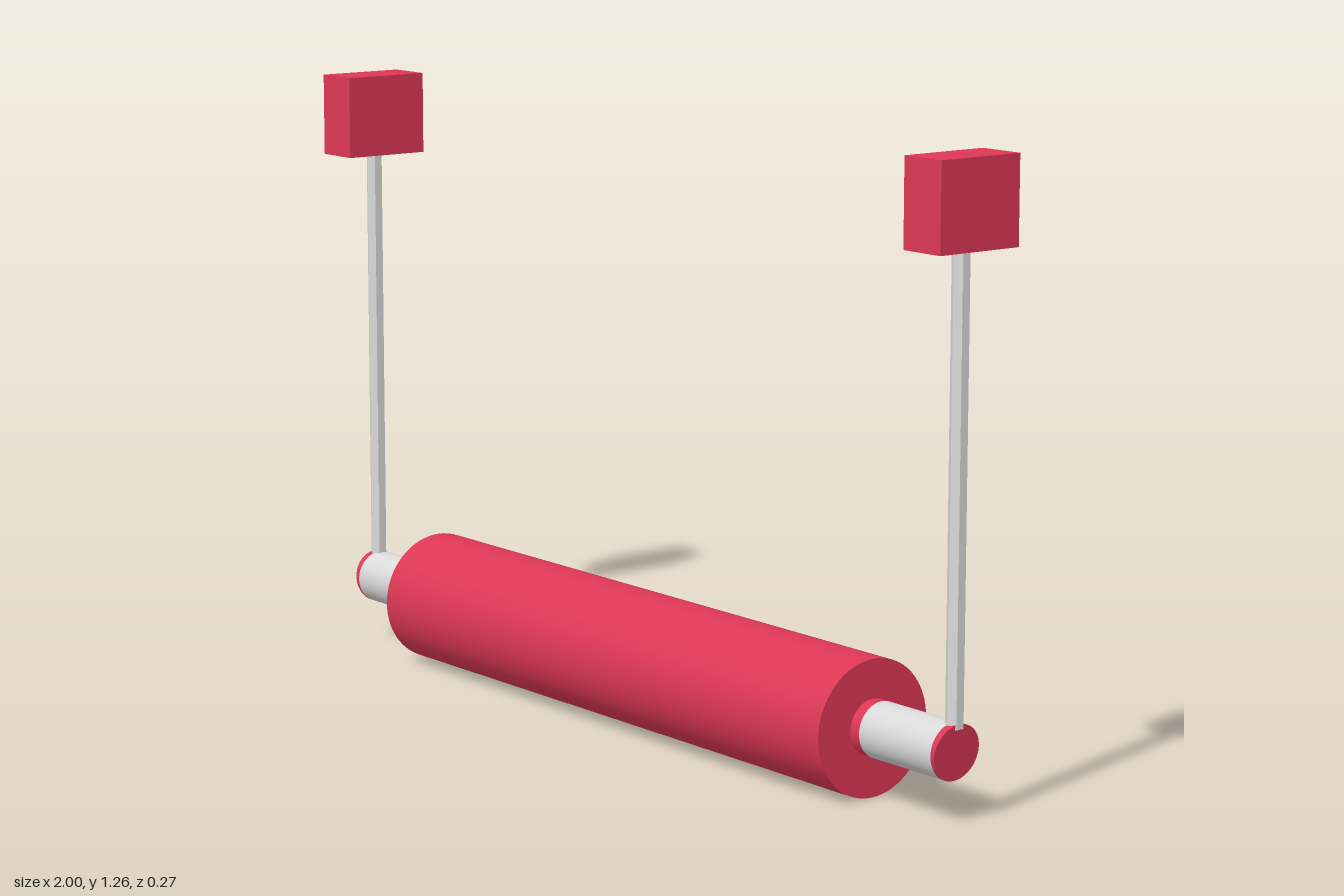
import * as THREE from 'three';

export function createModel() {
  const group = new THREE.Group();
  group.name = 'suspendedRoller';
  const red = new THREE.MeshStandardMaterial({ name: 'red', color: 0xdc3755 });
  const grey = new THREE.MeshStandardMaterial({ name: 'lightGrey', color: 0xd9d9d9 });
  const greyFlat = new THREE.MeshStandardMaterial({ name: 'rodGrey', color: 0xd9d9d9, flatShading: true });
  const axisY = 0.139, shaftR = 0.056;

  const add = (parent, name, geometry, material, x = 0, y = 0) => {
    const mesh = new THREE.Mesh(geometry, material);
    mesh.name = name;
    mesh.position.set(x, y, 0);
    parent.add(mesh);
    return mesh;
  };
  // Cylinder lying along x between two stations
  const barrel = (r, x0, x1, open = false) => new THREE.CylinderGeometry(r, r, x1 - x0, 64, 1, open)
    .rotateZ(-Math.PI / 2).translate((x0 + x1) / 2, 0, 0);

  add(group, 'roller', barrel(0.1365, -0.72, 0.72), red, 0, 0.1365);

  for (const side of [1, -1]) {
    const arm = new THREE.Group();
    arm.name = side > 0 ? 'leftArm' : 'rightArm';
    arm.rotation.y = side > 0 ? 0 : Math.PI;
    group.add(arm);

    // Shaft: red collar, grey sleeve and red tip
    add(arm, 'collar', barrel(shaftR, 0.72, 0.745, true), red, 0, axisY);
    add(arm, 'shaft', barrel(shaftR, 0.745, 0.947, true), grey, 0, axisY);

    // Tip end face leans outward at the top
    const tip = barrel(shaftR, 0.947, 0.957);
    const p = tip.attributes.position;
    for (let i = 0; i < p.count; i++) {
      if (p.getX(i) > 0.952) p.setX(i, 0.957 + p.getY(i) * 0.13);
    }
    tip.computeVertexNormals();
    add(arm, 'shaftTip', tip, red, 0, axisY);

    // Hexagonal hanger rod and its mounting block
    add(arm, 'hangerRod', new THREE.CylinderGeometry(0.018, 0.018, 0.91, 6), greyFlat, 0.95, 0.64);
    add(arm, 'mountBlock', new THREE.BoxGeometry(0.1, 0.173, 0.192), red, 0.95, 1.1715);
  }
  return group;
}
